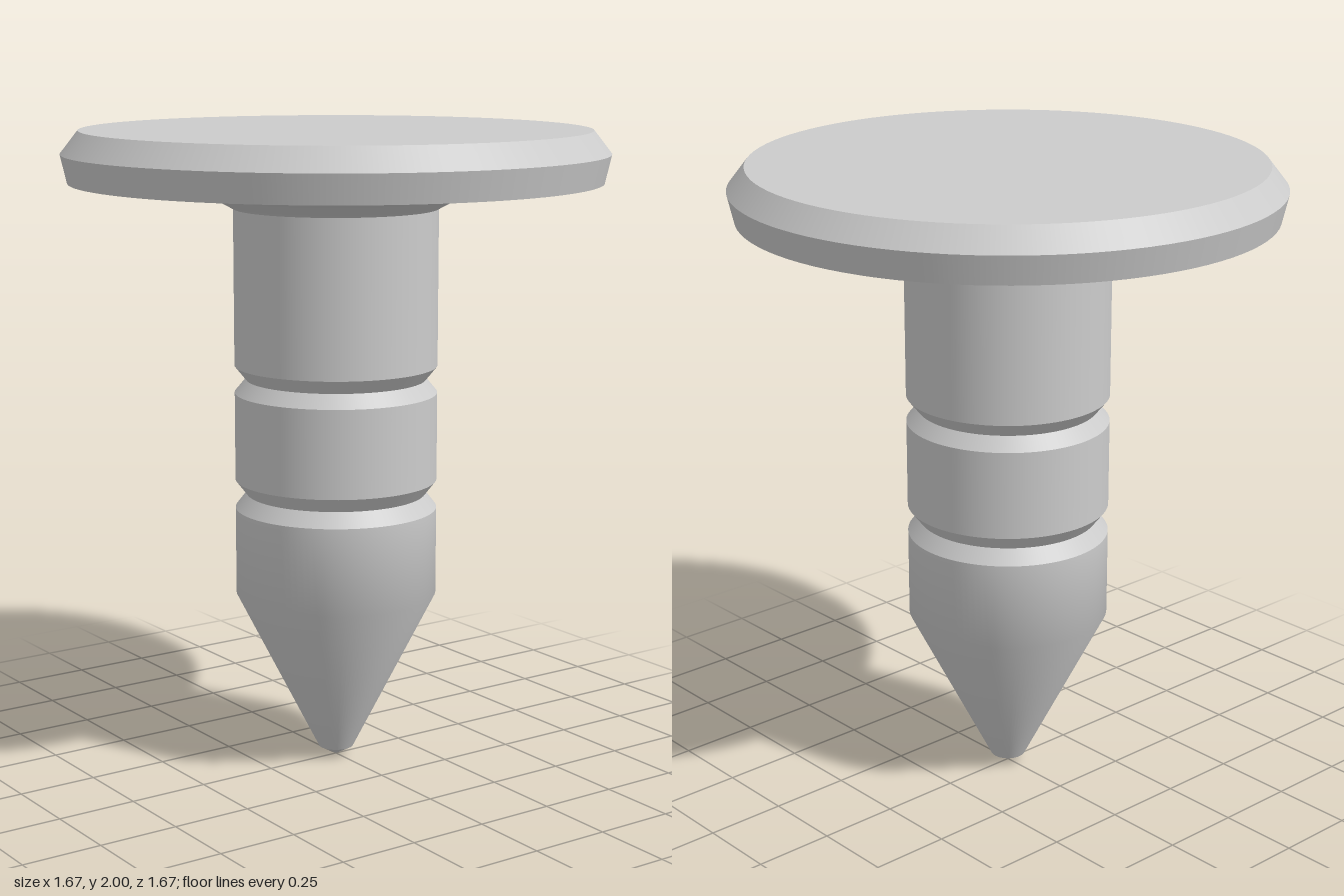
import * as THREE from 'three';

export function createModel() {
  const group = new THREE.Group();
  const grey = new THREE.MeshStandardMaterial({ color: 0xcccccc });
  grey.name = 'light grey';

  // Each run of [radius, height] points is turned smoothly; runs meet at sharp edges.
  function turned(name, runs) {
    const part = new THREE.Group();
    part.name = name;
    runs.forEach((run, i) => {
      const points = run.map(([r, y]) => new THREE.Vector2(r, y));
      const mesh = new THREE.Mesh(new THREE.LatheGeometry(points, 96), grey);
      mesh.name = `${name}Surface${i + 1}`;
      part.add(mesh);
    });
    group.add(part);
  }

  const R = 0.315; // shaft radius
  const neck = 0.28; // radius at the bottom of a groove

  // Blunt tip, then the cone blending into the lower shaft
  turned('point', [
    [[0, 0.005], [0.055, 0.035]],
    [[0.055, 0.035], [R, 0.55], [R, 0.825]],
  ]);

  // Two V-shaped grooves
  const groove = (name, y0, y1, y2) =>
    turned(name, [[[R, y0], [neck, y1]], [[neck, y1], [R, y2]]]);
  groove('lowerGroove', 0.825, 0.87, 0.915);
  groove('upperGroove', 1.19, 1.232, 1.275);

  // Shaft bands between and above the grooves
  turned('middleBand', [[[R, 0.915], [R, 1.19]]]);
  turned('upperShaft', [[[R, 1.275], [R, 1.76]]]);

  // Head: flared underside, rim, bevel and flat top
  turned('head', [
    [[R, 1.76], [0.435, 1.825], [0.815, 1.843]],
    [[0.815, 1.843], [0.835, 1.93]],
    [[0.835, 1.93], [0.78, 2]],
    [[0.78, 2], [0, 2]],
  ]);

  return group;
}
